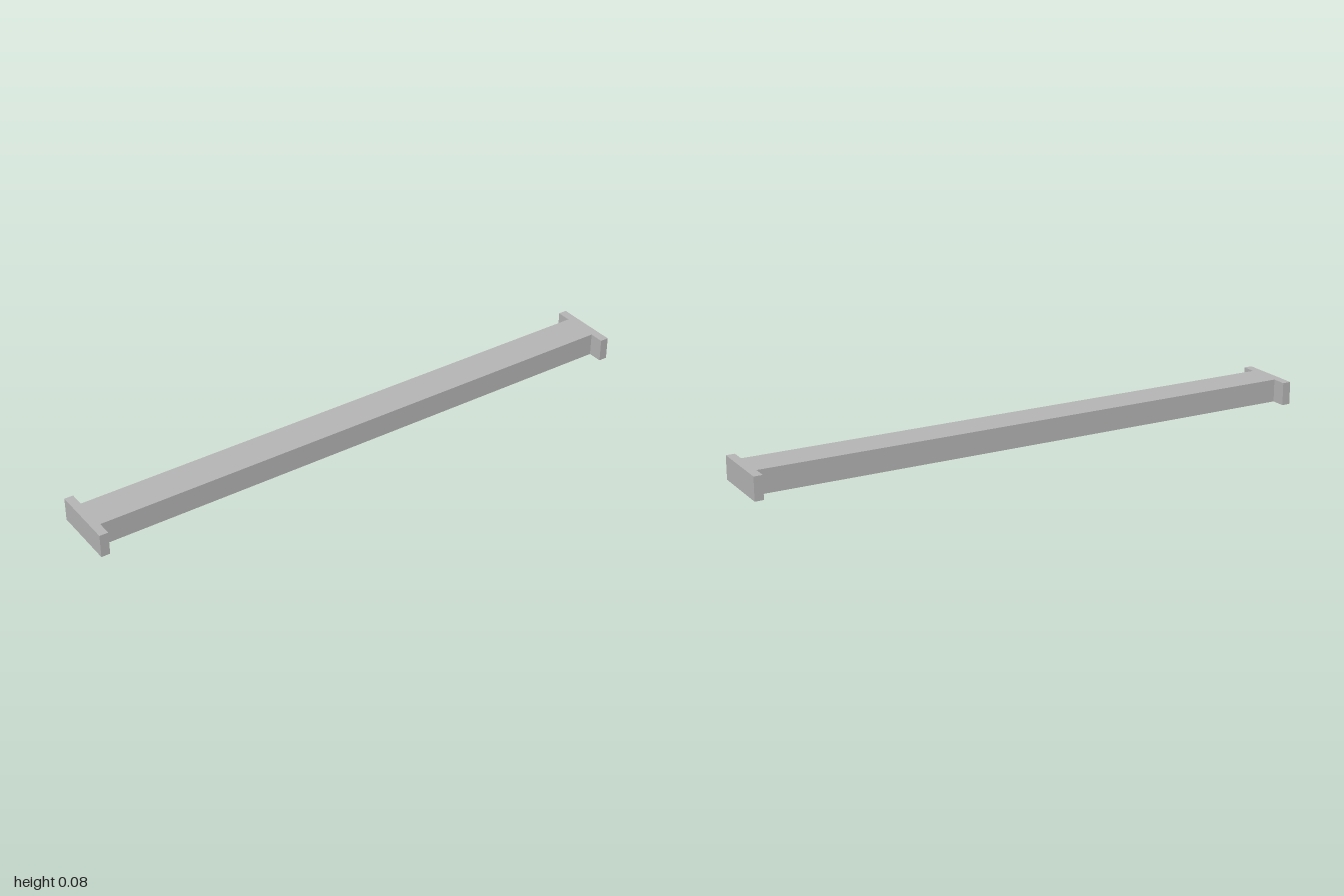
import * as THREE from 'three';

const HEIGHT = 0.08, SLOT_DEPTH = 0.032;
const END_Z = 0.114, BEAM_Z = 0.063, END_X = 0.97;

// I-shaped plan: a long beam with a wide plate at each end
function planShape() {
  return new THREE.Shape([
    [-1, -END_Z], [-END_X, -END_Z], [-END_X, -BEAM_Z], [END_X, -BEAM_Z],
    [END_X, -END_Z], [1, -END_Z], [1, END_Z], [END_X, END_Z],
    [END_X, BEAM_Z], [-END_X, BEAM_Z], [-END_X, END_Z], [-1, END_Z],
  ].map(([x, z]) => new THREE.Vector2(x, z)));
}

// Rectangular slot near one end
function slotPath(side) {
  const a = 0.65 * side, b = 0.95 * side, w = 0.024;
  return new THREE.Path([
    new THREE.Vector2(a, -w), new THREE.Vector2(a, w),
    new THREE.Vector2(b, w), new THREE.Vector2(b, -w),
  ]);
}

function layer(name, shape, y, depth, material) {
  const geometry = new THREE.ExtrudeGeometry(shape, { depth, bevelEnabled: false });
  geometry.rotateX(-Math.PI / 2).translate(0, y, 0);
  const mesh = new THREE.Mesh(geometry, material);
  mesh.name = name;
  return mesh;
}

export function createModel() {
  const group = new THREE.Group();
  group.name = 'slottedBeam';
  const grey = new THREE.MeshStandardMaterial({ color: 0xb4b4b4 });
  grey.name = 'grey';

  // Underside layer, pierced by two slots
  const slotted = planShape();
  slotted.holes.push(slotPath(-1), slotPath(1));
  group.add(layer('slottedUnderside', slotted, 0, SLOT_DEPTH, grey));

  // Solid upper layer closes the slots
  group.add(layer('solidTop', planShape(), SLOT_DEPTH, HEIGHT - SLOT_DEPTH, grey));
  return group;
}
